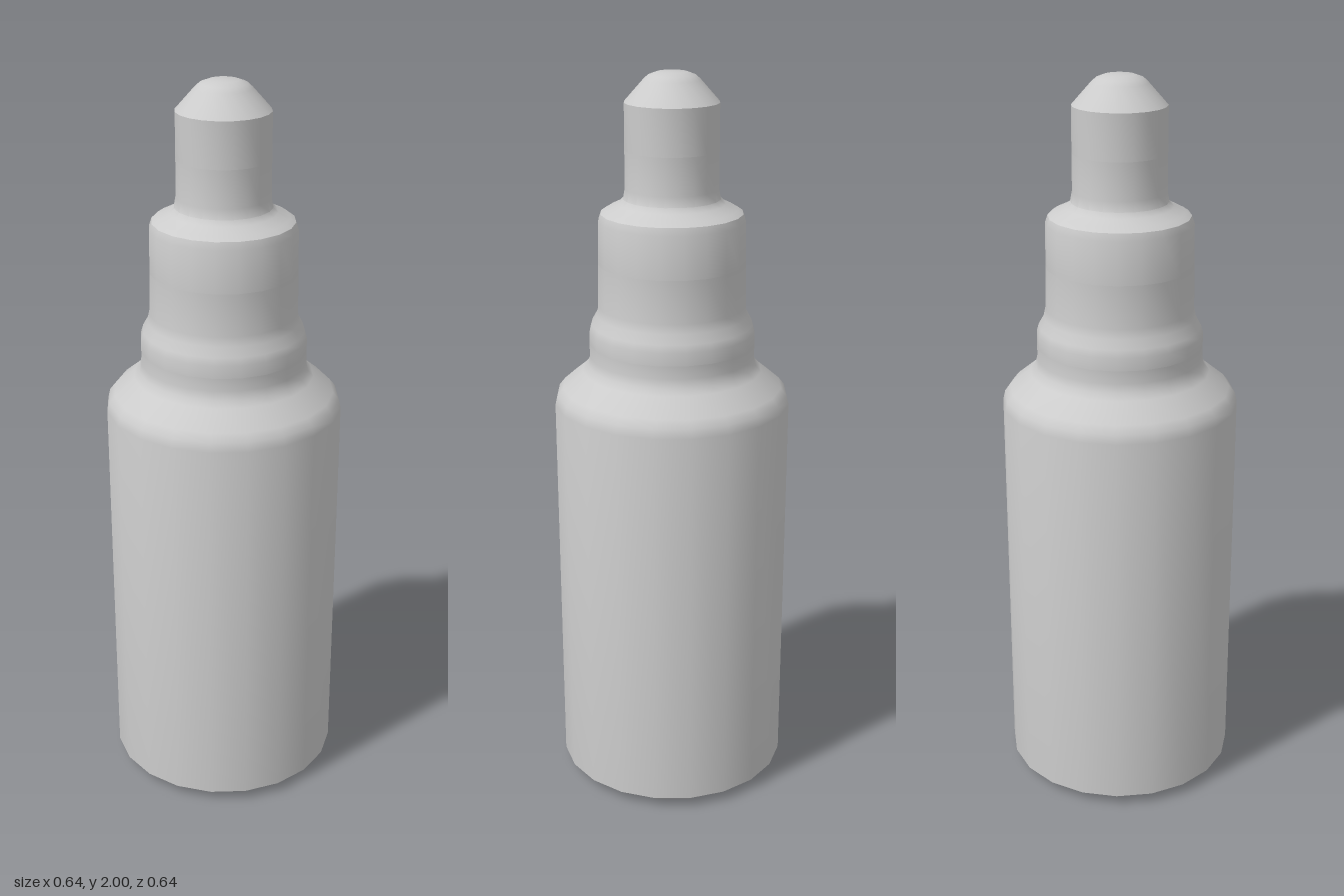
import * as THREE from 'three';
import { toCreasedNormals } from 'three/addons/utils/BufferGeometryUtils.js';

const SIDES = 20;

// Radius/height profiles, bottom to top; neighbours meet on straight walls
const PARTS = {
  body: [[0, 0], [0.265, 0], [0.29, 0.008], [0.32, 0.03], [0.322, 1.115], [0.316, 1.14], [0.3, 1.16],
    [0.245, 1.205], [0.23, 1.222], [0.225, 1.245], [0.225, 1.28]],
  neckRing: [[0.225, 1.28], [0.225, 1.315], [0.219, 1.335], [0.205, 1.36], [0.2, 1.385], [0.198, 1.5]],
  collar: [[0.198, 1.5], [0.197, 1.615], [0.19, 1.635], [0.175, 1.645], [0.143, 1.66], [0.13, 1.673],
    [0.125, 1.7], [0.125, 1.8]],
  tip: [[0.125, 1.8], [0.125, 1.922], [0.075, 1.978], [0.062, 1.99], [0.04, 1.998], [0, 2]],
};

export function createModel() {
  const group = new THREE.Group();
  group.name = 'steppedBottle';
  const material = new THREE.MeshStandardMaterial({ color: 0xcccccc });

  for (const [name, profile] of Object.entries(PARTS)) {
    const points = profile.map(([r, y]) => new THREE.Vector2(r, y));
    const geometry = toCreasedNormals(new THREE.LatheGeometry(points, SIDES), 0.6);
    const mesh = new THREE.Mesh(geometry, material);
    mesh.name = name;
    group.add(mesh);
  }
  return group;
}
